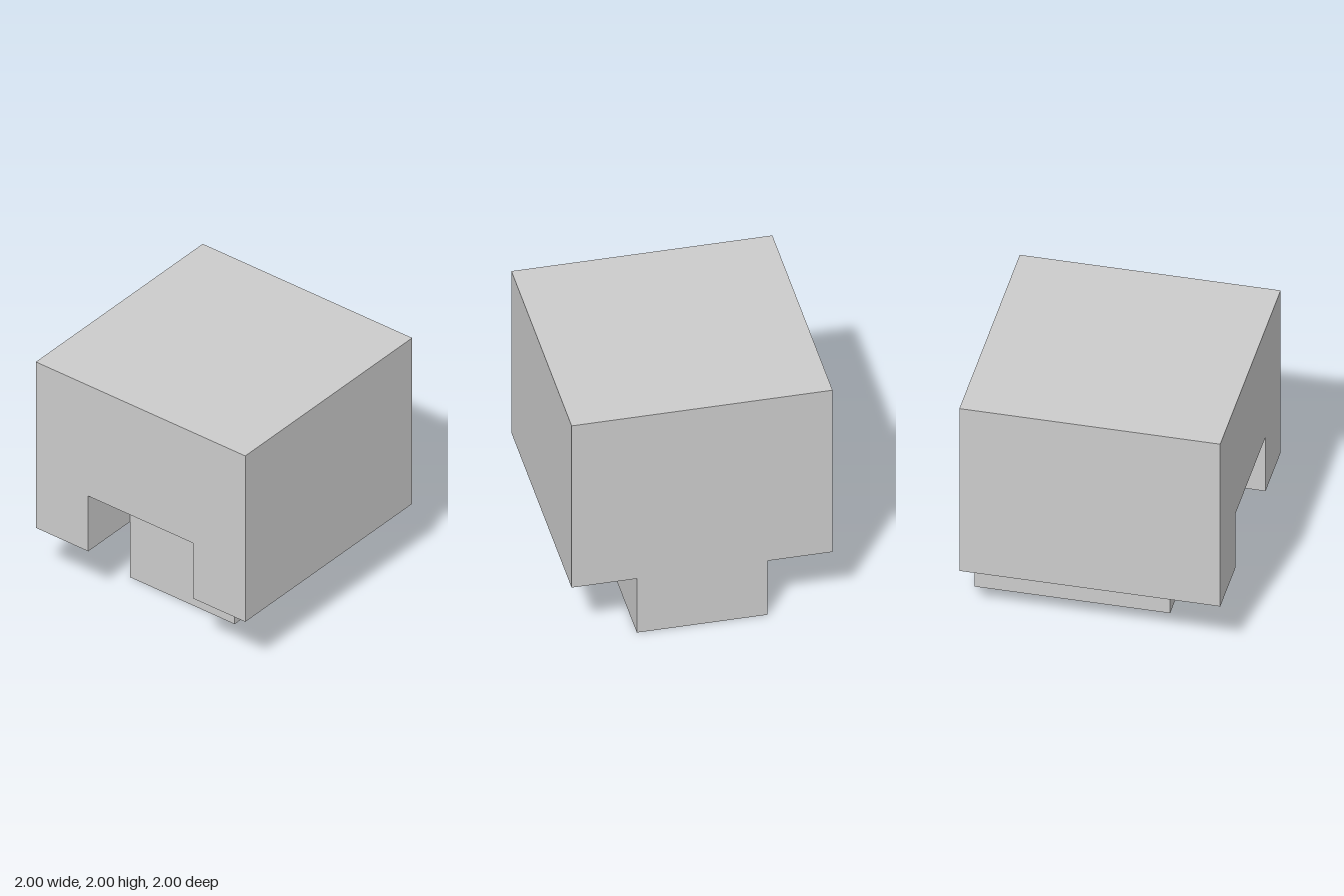
import * as THREE from 'three';

const material = new THREE.MeshStandardMaterial({ color: 0xcccccc, flatShading: true });

// Extrudes an x-y outline from z0 to z1.
function slab(name, points, z0, z1) {
  const shape = new THREE.Shape(points.map(([x, y]) => new THREE.Vector2(x, y)));
  const geometry = new THREE.ExtrudeGeometry(shape, { depth: z1 - z0, bevelEnabled: false });
  geometry.translate(0, 0, z0);
  const mesh = new THREE.Mesh(geometry, material);
  mesh.name = name;
  return mesh;
}

// Closes a right-half outline by mirroring it across x = 0.
const mirrored = (half) => [...half, ...half.map(([x, y]) => [-x, y]).reverse()];

export function createModel() {
  const group = new THREE.Group();
  group.name = 'notchedBlock';

  // Rear body with the central foot running to the back face
  group.add(slab('bodyWithFoot', mirrored([[0.5, 0], [0.5, 0.5], [1, 0.5], [1, 2]]), -1, 0.5));

  // Front overhang with a square notch above the foot
  group.add(slab('notchedFront', mirrored([[0.5, 1], [0.5, 0.5], [1, 0.5], [1, 2]]), 0.5, 1));

  return group;
}
